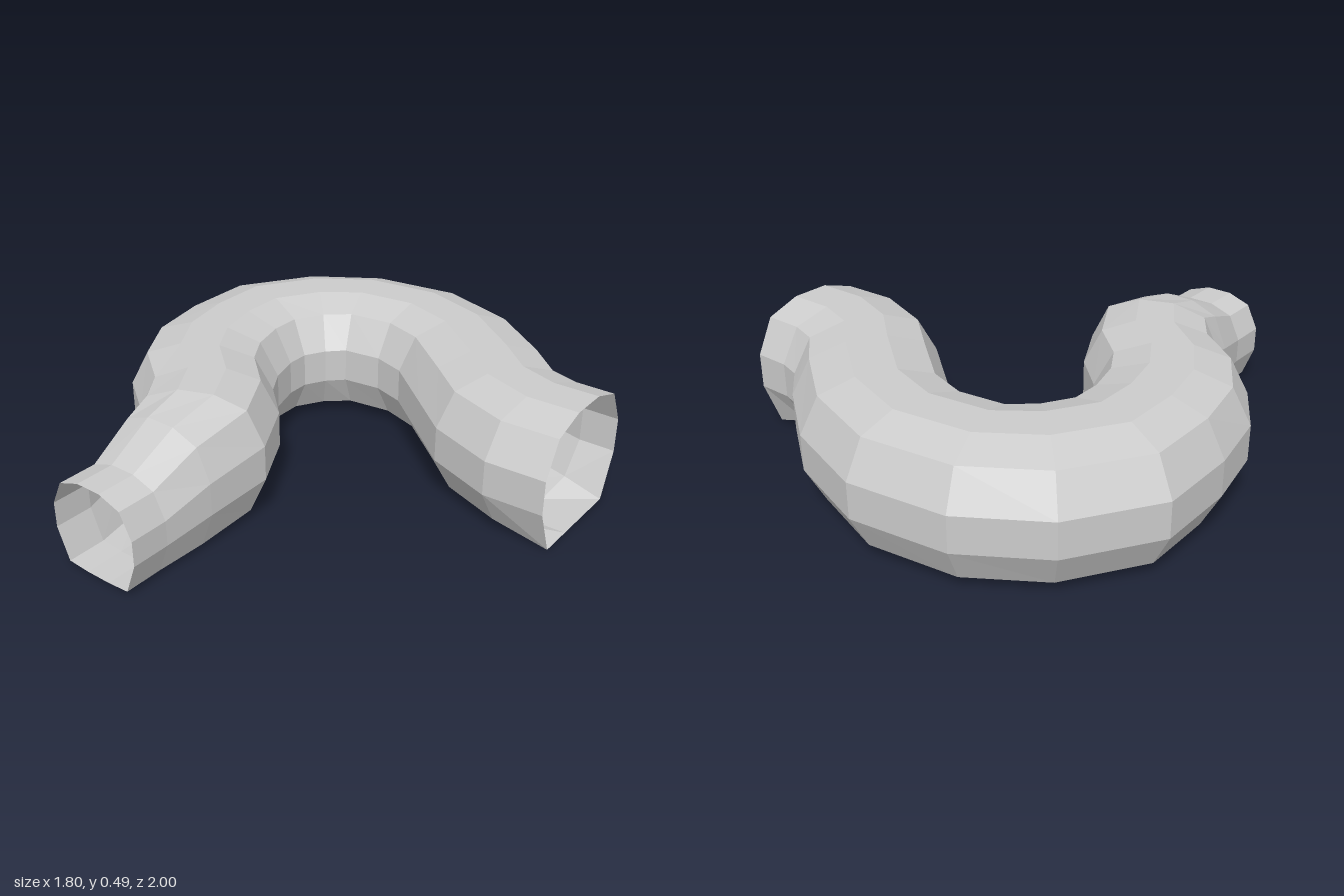
import * as THREE from 'three';

// Stations along the pipe: outer x,z, inner x,z, bottom y, top y, flat floor (0..1)
const stations = [
  [0.9, -0.565, 0.9, -0.015, 0, 0.49, 1],
  [0.76, -0.565, 0.67, -0.005, 0, 0.49, 0],
  [0.67, -0.59, 0.41, -0.1, 0, 0.49, 0],
  [0.54, -0.71, 0.25, -0.23, 0, 0.49, 0],
  [0.29, -0.89, 0.04, -0.4, 0, 0.49, 0],
  [-0.05, -1, -0.09, -0.44, 0, 0.49, 0],
  [-0.42, -0.945, -0.24, -0.42, 0, 0.49, 0],
  [-0.7, -0.765, -0.3, -0.36, 0, 0.49, 0],
  [-0.9, -0.46, -0.345, -0.28, 0, 0.49, 0],
  [-0.9, -0.15, -0.345, -0.19, 0, 0.49, 0],
  [-0.85, 0.11, -0.31, -0.07, 0, 0.49, 0],
  [-0.72, 0.32, -0.25, 0.03, 0, 0.49, 0],
  [-0.54, 0.45, -0.11, 0.16, 0, 0.49, 0],
  [-0.46, 0.56, 0.01, 0.38, 0, 0.49, 0.2],
  [-0.44, 0.65, 0, 0.65, 0, 0.45, 0.5],
  [-0.39, 0.85, -0.015, 0.85, 0.015, 0.365, 0.8],
  [-0.39, 1, -0.015, 1, 0.015, 0.365, 0.8],
];

// Twelve-sided section: u runs inner (-1) to outer (+1), v bottom to top
const quarter = [[1, 0.275], [0.75, 0.82], [0.27, 1]];
const mirrored = quarter.map(([u, v]) => [-u, v]).reverse();
const upper = [...quarter, ...mirrored];
const section = [...upper, ...upper.map(([u, v]) => [-u, -v])];

function pipeGeometry() {
  const positions = [], index = [], n = section.length;
  stations.forEach(([ox, oz, ix, iz, y0, y1, flat], i) => {
    section.forEach(([u, v], j) => {
      // the floor flattens towards both open ends
      const w = v === -0.82 ? THREE.MathUtils.lerp(v, -1, flat) : v;
      const t = (u + 1) / 2;
      positions.push(
        THREE.MathUtils.lerp(ix, ox, t),
        THREE.MathUtils.lerp(y0, y1, (w + 1) / 2),
        THREE.MathUtils.lerp(iz, oz, t));
      if (i === stations.length - 1) return;
      const a = i * n + j, b = i * n + (j + 1) % n;
      index.push(a, a + n, b, a + n, b + n, b);
    });
  });
  const geometry = new THREE.BufferGeometry();
  geometry.setAttribute('position', new THREE.Float32BufferAttribute(positions, 3));
  geometry.setIndex(index);
  geometry.computeVertexNormals();
  return geometry;
}

export function createModel() {
  const group = new THREE.Group();
  group.name = 'bentPipe';
  // Hollow pipe, open at both ends
  const material = new THREE.MeshStandardMaterial({
    color: 0xcccccc, flatShading: true, side: THREE.DoubleSide,
  });
  const pipe = new THREE.Mesh(pipeGeometry(), material);
  pipe.name = 'pipeWall';
  group.add(pipe);
  return group;
}
